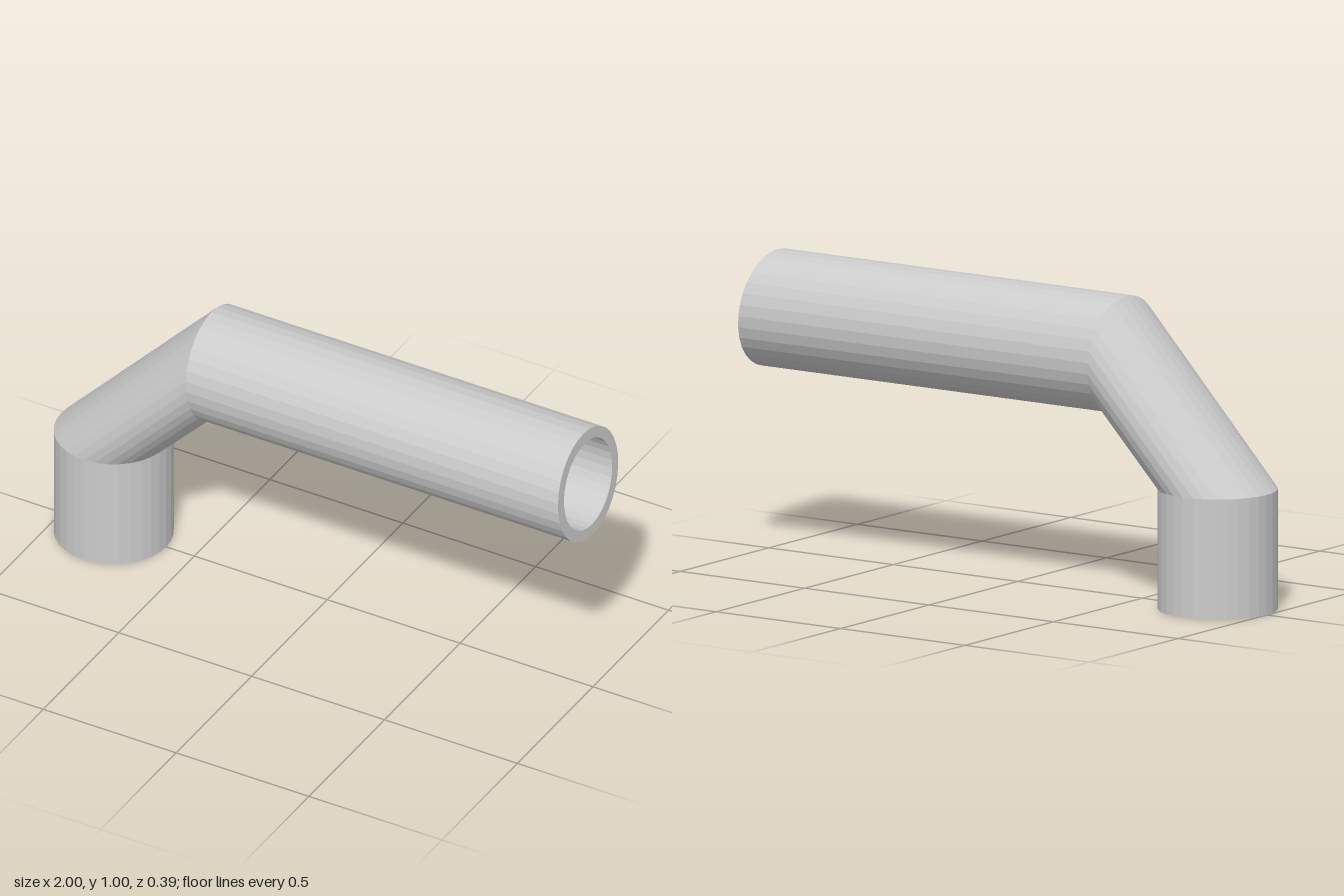
import * as THREE from 'three';

const SIDES = 32, RADIUS = 0.197, BORE = 0.8;

// Mitred rings along the pipe: centre and in-plane radius vector on the outside of the bend
const rings = [
  { c: [-0.803, 0], u: [-0.197, 0] },
  { c: [-0.803, 0.4], u: [-0.197, 0] },
  { c: [-0.419, 0.805], u: [-0.016, 0.195] },
  { c: [0.982, 0.805], u: [-0.018, 0.195] },
];

// Skin a run of rings; each entry is [ring, scale]
function skin(name, sections) {
  const pos = [], index = [];
  for (const [{ c, u }, k] of sections) {
    for (let i = 0; i < SIDES; i++) {
      const a = (i / SIDES) * Math.PI * 2, cos = Math.cos(a) * k;
      pos.push(c[0] + u[0] * cos, c[1] + u[1] * cos, RADIUS * k * Math.sin(a));
    }
  }
  for (let s = 0; s < sections.length - 1; s++) {
    for (let i = 0; i < SIDES; i++) {
      const a = s * SIDES + i, b = s * SIDES + (i + 1) % SIDES;
      index.push(a, b, b + SIDES, a, b + SIDES, a + SIDES);
    }
  }
  const geo = new THREE.BufferGeometry();
  geo.setAttribute('position', new THREE.Float32BufferAttribute(pos, 3));
  geo.setIndex(index);
  const flat = geo.toNonIndexed();
  flat.computeVertexNormals();
  const mesh = new THREE.Mesh(flat, new THREE.MeshStandardMaterial({ color: 0xcccccc, flatShading: true }));
  mesh.name = name;
  return mesh;
}

export function createModel() {
  const group = new THREE.Group();
  group.name = 'bentPipe';
  const first = rings[0], last = rings[rings.length - 1];
  group.add(
    skin('outerWall', rings.map((r) => [r, 1])),
    skin('outletRim', [[last, 1], [last, BORE]]),
    skin('innerWall', rings.map((r) => [r, BORE]).reverse()),
    skin('baseRim', [[first, BORE], [first, 1]]),
  );
  return group;
}
